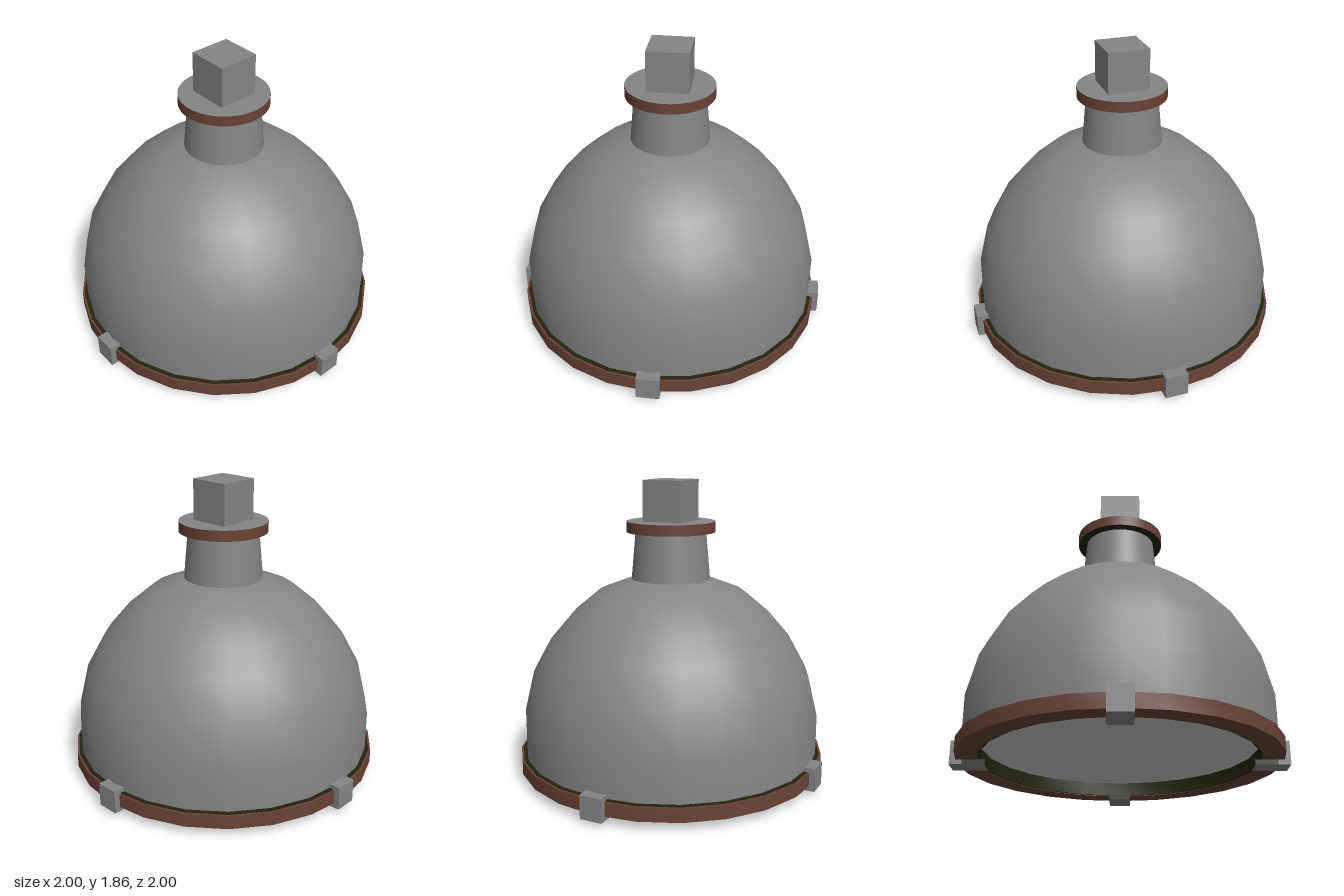
import * as THREE from 'three';
import { toCreasedNormals } from 'three/addons/utils/BufferGeometryUtils.js';

const material = (name, color) => Object.assign(new THREE.MeshStandardMaterial({ color }), { name });

export function createModel() {
  const metal = material('grey metal', 0x858585);
  const glass = material('pale glass', 0xc8c8c8);
  const rust = material('rust brown', 0x694335);
  const rubber = material('dark olive rubber', 0x24240e);

  const model = new THREE.Group();
  model.name = 'domeLamp';

  const add = (name, geometry, mat, parent = model) => {
    const mesh = new THREE.Mesh(geometry, mat);
    mesh.name = name;
    parent.add(mesh);
    return mesh;
  };
  const lathe = (points, segments = 24) => toCreasedNormals(
    new THREE.LatheGeometry(points.map(([r, y]) => new THREE.Vector2(r, y)), segments), 0.6);
  // closed ring with a rectangular section
  const ring = (inner, outer, bottom, top) => lathe(
    [[inner, bottom], [outer, bottom], [outer, top], [inner, top], [inner, bottom]]);

  // Shade
  add('dome', lathe([[0.937, 0.1], [0.937, 0.4], [0.874, 0.66], [0.759, 0.87],
    [0.622, 1.03], [0.457, 1.168], [0.245, 1.25], [0, 1.26]]), metal);

  // Rim, its seal and the shallow lens
  add('rim', ring(0.84, 0.973, 0.058, 0.144), rust);
  add('seal', ring(0.828, 0.96, 0.062, 0.149), rubber);
  add('lens', lathe([[0, 0.003], [0.27, 0.052], [0.56, 0.105], [0.835, 0.147]]), glass);

  // Neck, collar (side, top, underside) and cable block
  const neck = add('neck', new THREE.CylinderGeometry(0.219, 0.246, 0.3, 48), metal);
  neck.position.y = 1.395;
  const collar = add('collar', new THREE.CylinderGeometry(0.275, 0.275, 0.066, 48), [rust, metal, rubber]);
  collar.position.y = 1.573;
  const block = add('topBlock', new THREE.BoxGeometry(0.257, 0.26, 0.257), metal);
  block.position.y = 1.728;

  // Four clips gripping the rim; the feet have a metal underside
  for (let i = 0; i < 4; i++) {
    const clip = new THREE.Group();
    clip.name = 'rimClip' + (i + 1);
    clip.rotation.y = i * Math.PI / 2;
    const body = add('clipBody', new THREE.BoxGeometry(0.075, 0.145, 0.14), metal, clip);
    body.position.set(0.9625, 0.1025, 0);
    const foot = add('clipFoot', new THREE.BoxGeometry(0.14, 0.03, 0.14),
      [rubber, rubber, rubber, metal, rubber, rubber], clip);
    foot.position.set(0.86, 0.045, 0);
    model.add(clip);
  }
  return model;
}
